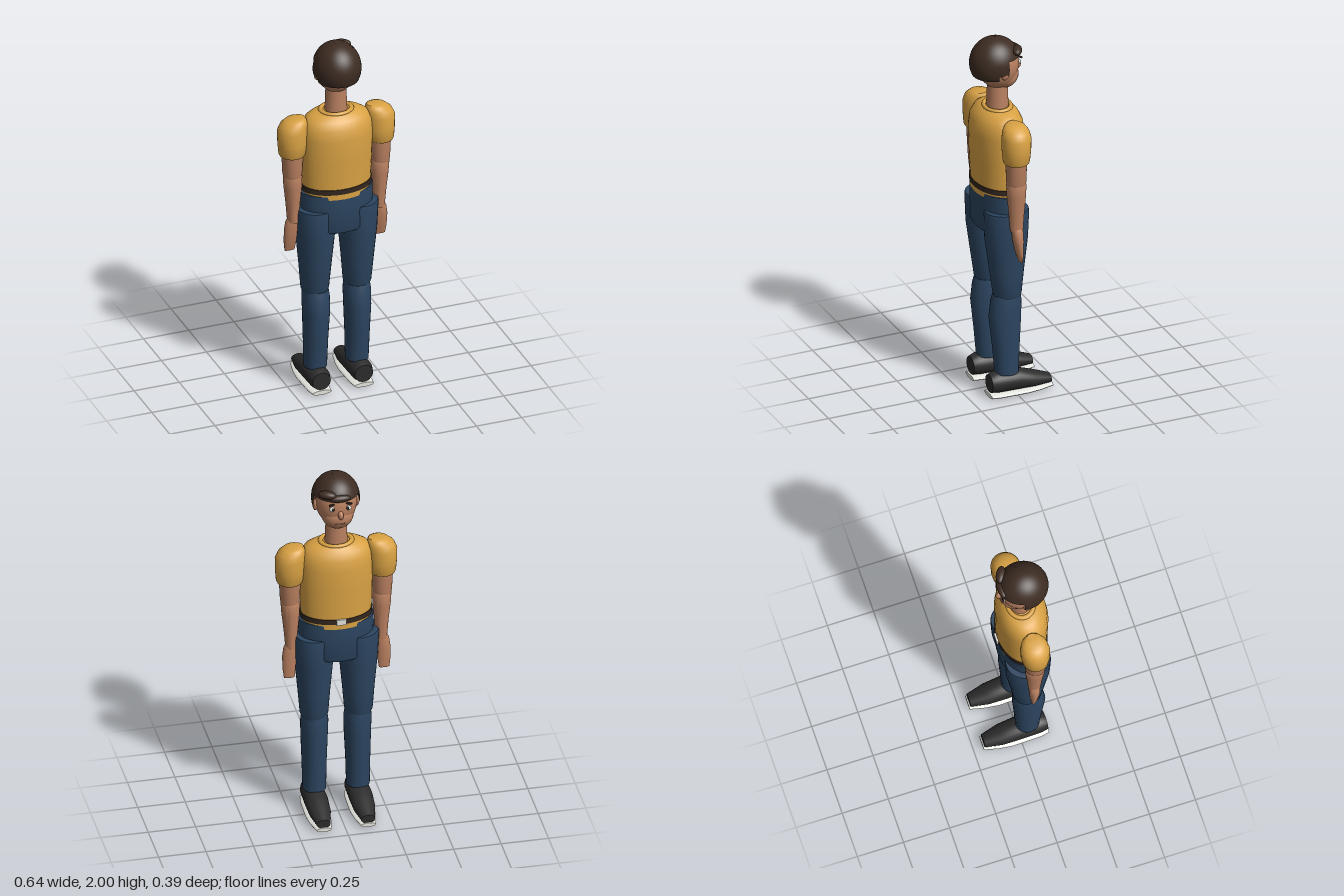
import * as THREE from 'three';
import { toCreasedNormals } from 'three/addons/utils/BufferGeometryUtils.js';

const mat = (name, color) => Object.assign(new THREE.MeshStandardMaterial({ color }), { name });

// Stack of ellipses [height, centreX, centreZ, radiusX, radiusZ], bottom to top, capped at both ends
function loft(rings, segs = 28) {
  const pos = [], idx = [];
  for (const [y, cx, cz, rx, rz] of rings) {
    for (let i = 0; i < segs; i++) {
      const a = (i / segs) * Math.PI * 2;
      pos.push(cx + rx * Math.cos(a), y, cz + rz * Math.sin(a));
    }
  }
  const last = rings.length - 1, bottom = rings.length * segs, top = bottom + 1;
  for (const [y, cx, cz] of [rings[0], rings[last]]) pos.push(cx, y, cz);
  for (let i = 0; i < segs; i++) {
    const n = (i + 1) % segs;
    for (let r = 0; r < last; r++) {
      const a = r * segs + i, b = r * segs + n;
      idx.push(a, a + segs, b, b, a + segs, b + segs);
    }
    idx.push(bottom, i, n, top, last * segs + n, last * segs + i);
  }
  const g = new THREE.BufferGeometry();
  g.setAttribute('position', new THREE.Float32BufferAttribute(pos, 3));
  g.setIndex(idx);
  return toCreasedNormals(g, 0.75);
}

export function createModel() {
  const model = new THREE.Group();
  const skin = mat('skin', 0xb98060), shirt = mat('shirt yellow', 0xd9a244);
  const denim = mat('denim blue', 0x2c4560), hairMat = mat('hair brown', 0x3d2c22);
  const shoeMat = mat('shoe black', 0x2c2c2c), white = mat('white', 0xe6e6e0);
  const leather = mat('belt brown', 0x33271f), dark = mat('pupil black', 0x151515);
  const lip = mat('lip', 0x8e5543);
  hairMat.side = THREE.DoubleSide;

  const add = (name, geo, material, parent = model) => {
    const m = new THREE.Mesh(geo, material);
    m.name = name;
    parent.add(m);
    return m;
  };
  const ball = (name, material, p, r, parent) => {
    const m = add(name, new THREE.SphereGeometry(1, 24, 16), material, parent);
    m.position.set(...p);
    m.scale.set(...r);
    return m;
  };

  // Torso, collar, belt and hips
  add('torso', loft([
    [1.14, 0, 0.05, 0.182, 0.127], [1.22, 0, 0.05, 0.186, 0.127], [1.35, 0, 0.052, 0.191, 0.131],
    [1.48, 0, 0.053, 0.193, 0.133], [1.54, 0, 0.053, 0.188, 0.126], [1.58, 0, 0.05, 0.168, 0.105],
    [1.6, 0, 0.047, 0.135, 0.085], [1.61, 0, 0.047, 0.09, 0.07]], 40), shirt);
  const collar = add('collar', new THREE.TorusGeometry(0.068, 0.011, 10, 32), shirt);
  collar.rotation.x = Math.PI / 2;
  collar.scale.x = 1.2;
  collar.position.set(0, 1.609, 0.047);
  add('belt', loft([[1.172, 0, 0.05, 0.19, 0.131], [1.2, 0, 0.05, 0.19, 0.131]], 40), leather);
  add('buckle', new THREE.BoxGeometry(0.05, 0.032, 0.01), white).position.set(0, 1.187, -0.083);
  add('hips', loft([
    [0.94, 0, 0.05, 0.18, 0.118], [0.955, 0, 0.05, 0.189, 0.125],
    [1.1, 0, 0.05, 0.197, 0.126], [1.16, 0, 0.05, 0.196, 0.124]], 40), denim);

  for (const s of [1, -1]) {
    const side = s > 0 ? 'left' : 'right';

    // Arm
    const arm = new THREE.Group();
    arm.name = side + 'Arm';
    model.add(arm);
    add('sleeve', loft([
      [1.388, s * 0.245, 0.05, 0.064, 0.064], [1.4, s * 0.244, 0.05, 0.071, 0.07],
      [1.46, s * 0.243, 0.049, 0.077, 0.076], [1.53, s * 0.242, 0.048, 0.079, 0.077],
      [1.565, s * 0.234, 0.048, 0.071, 0.07], [1.588, s * 0.222, 0.048, 0.055, 0.054],
      [1.597, s * 0.208, 0.048, 0.036, 0.034]]), shirt, arm);
    add('upperArm', loft([
      [1.265, s * 0.243, 0.05, 0.047, 0.05], [1.28, s * 0.243, 0.05, 0.051, 0.053],
      [1.42, s * 0.243, 0.05, 0.058, 0.056]]), skin, arm);
    add('forearm', loft([
      [0.995, s * 0.238, 0.046, 0.029, 0.035], [1.1, s * 0.239, 0.047, 0.037, 0.042],
      [1.2, s * 0.24, 0.048, 0.047, 0.051], [1.26, s * 0.241, 0.049, 0.05, 0.053],
      [1.272, s * 0.241, 0.049, 0.046, 0.049]]), skin, arm);
    add('hand', loft([
      [0.82, s * 0.25, 0.03, 0.028, 0.008], [0.87, s * 0.25, 0.036, 0.034, 0.019],
      [0.94, s * 0.248, 0.042, 0.037, 0.028], [0.99, s * 0.244, 0.044, 0.034, 0.03],
      [1.012, s * 0.24, 0.045, 0.027, 0.028]]), skin, arm);

    // Leg
    const leg = new THREE.Group();
    leg.name = side + 'Leg';
    model.add(leg);
    add('thigh', loft([
      [0.57, s * 0.117, 0.045, 0.066, 0.07], [0.59, s * 0.117, 0.045, 0.074, 0.076],
      [0.72, s * 0.117, 0.048, 0.084, 0.092], [0.9, s * 0.117, 0.05, 0.1, 0.115],
      [1.05, s * 0.12, 0.05, 0.105, 0.12], [1.068, s * 0.12, 0.05, 0.102, 0.117]]), denim, leg);
    add('shin', loft([
      [0.13, s * 0.115, 0.047, 0.061, 0.063], [0.28, s * 0.115, 0.051, 0.064, 0.073],
      [0.45, s * 0.114, 0.056, 0.07, 0.087], [0.54, s * 0.114, 0.05, 0.072, 0.082],
      [0.58, s * 0.114, 0.047, 0.067, 0.074]]), denim, leg);

    // Shoe and sole run from heel to toe
    add('shoe', loft([
      [-0.145, s * 0.117, 0.078, 0.05, 0.048], [-0.11, s * 0.117, 0.082, 0.059, 0.058],
      [0.01, s * 0.117, 0.08, 0.062, 0.058], [0.1, s * 0.117, 0.064, 0.057, 0.043],
      [0.193, s * 0.117, 0.048, 0.036, 0.024]]).rotateX(-Math.PI / 2), shoeMat, leg);
    add('sole', loft([
      [-0.15, s * 0.117, 0.015, 0.052, 0.012], [-0.1, s * 0.117, 0.015, 0.061, 0.015],
      [0.05, s * 0.117, 0.015, 0.065, 0.015], [0.12, s * 0.117, 0.015, 0.057, 0.014],
      [0.2, s * 0.117, 0.017, 0.039, 0.012]]).rotateX(-Math.PI / 2), white, leg);
  }

  // Head
  const head = new THREE.Group();
  head.name = 'head';
  model.add(head);
  add('neck', loft([[1.59, 0, 0.047, 0.06, 0.058], [1.76, 0, 0.046, 0.053, 0.053]]), skin, head);
  ball('skull', skin, [0, 1.85, 0.045], [0.108, 0.135, 0.11], head);
  ball('jaw', skin, [0, 1.788, 0.012], [0.084, 0.078, 0.077], head);
  ball('nose', skin, [0, 1.822, -0.066], [0.015, 0.024, 0.02], head);
  ball('mouth', lip, [0, 1.766, -0.059], [0.029, 0.005, 0.005], head);
  for (const s of [1, -1]) {
    ball('ear', skin, [s * 0.109, 1.832, 0.052], [0.014, 0.032, 0.022], head);
    ball('eye', white, [s * 0.04, 1.858, -0.054], [0.019, 0.014, 0.008], head).rotation.y = s * 0.35;
    ball('pupil', dark, [s * 0.039, 1.858, -0.06], [0.008, 0.009, 0.005], head);
    const brow = add('brow', new THREE.BoxGeometry(0.042, 0.008, 0.008), hairMat, head);
    brow.position.set(s * 0.041, 1.885, -0.056);
    brow.rotation.y = s * 0.4;
  }

  // Hair cap: the hairline steps up from nape to temples to forehead
  const d = Math.PI / 180;
  const hairParts = [['hairBack', 12, 156, 1.797], ['hairLeft', 168, 24, 1.828],
    ['hairRight', -12, 24, 1.828], ['hairFront', 192, 156, 1.902]];
  for (const [name, start, sweep, edge] of hairParts) {
    const geo = new THREE.SphereGeometry(1, Math.ceil(sweep / 9), 16, start * d, sweep * d,
      0, Math.acos((edge - 1.86) / 0.14));
    const m = add(name, geo, hairMat, head);
    m.position.set(0, 1.86, 0.06);
    m.scale.set(0.126, 0.14, 0.135);
  }

  // Swept fringe
  const sweep = ball('fringeSweep', hairMat, [0.065, 1.935, -0.036], [0.048, 0.022, 0.026], head);
  sweep.rotation.y = -0.45;
  ball('fringeMiddle', hairMat, [0, 1.917, -0.055], [0.055, 0.02, 0.022], head);
  return model;
}
